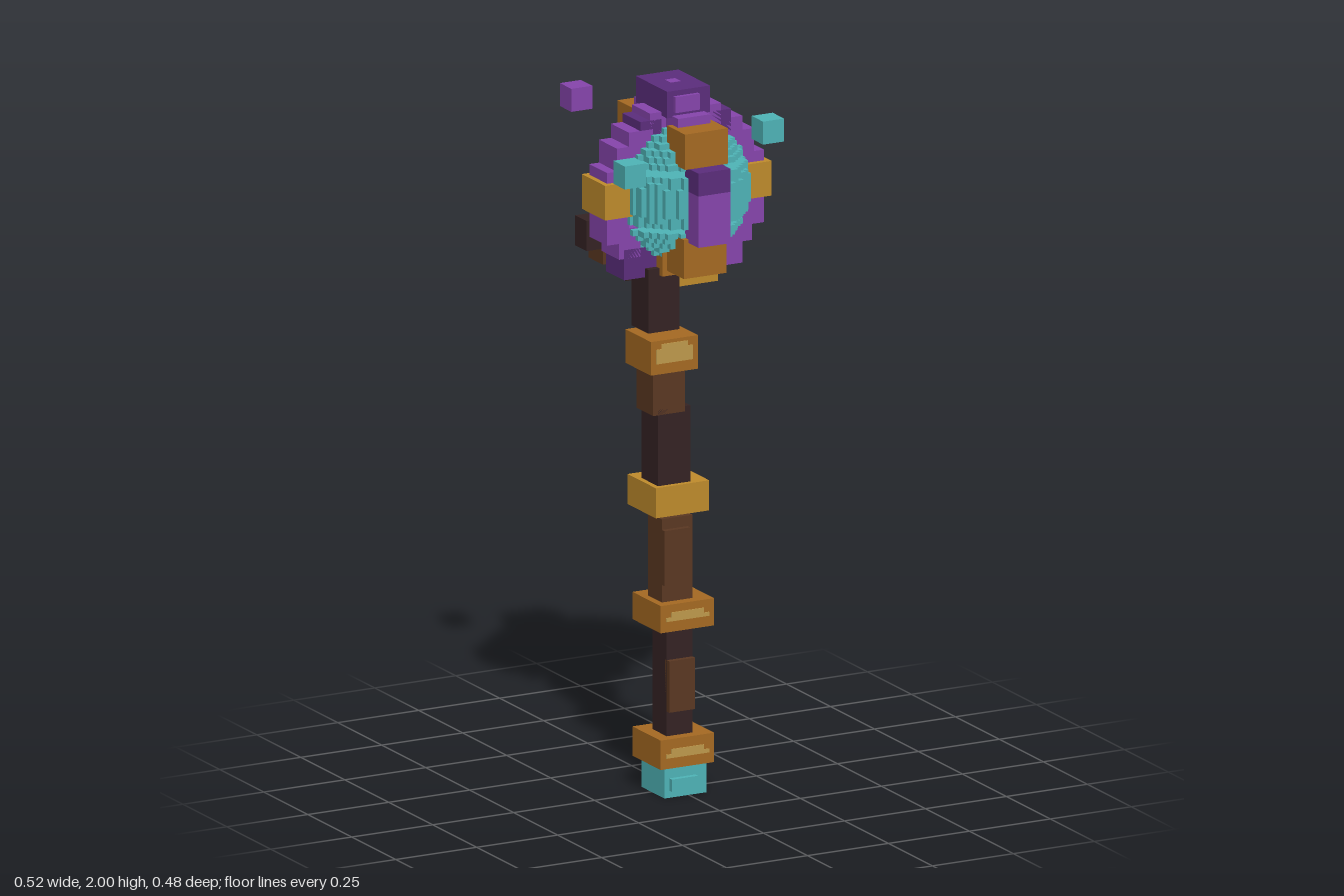
import * as THREE from 'three';
import { mergeGeometries } from 'three/addons/utils/BufferGeometryUtils.js';

const paint = (name, color) => {
  const m = new THREE.MeshStandardMaterial({ color });
  m.name = name;
  return m;
};

export function createModel() {
  const purple = paint('purple', 0x8745ad);
  const darkPurple = paint('dark purple', 0x5c2d7d);
  const bronze = paint('bronze', 0xa66a22);
  const gold = paint('gold', 0xc08c2c);
  const paleGold = paint('pale gold', 0xc09a4c);
  const teal = paint('teal', 0x4fb5b8);
  const darkWood = paint('dark wood', 0x352324);
  const wood = paint('wood', 0x5b3822);

  const staff = new THREE.Group();
  staff.name = 'staff';

  // Box geometry from its bounds
  const boxGeo = (x0, x1, y0, y1, z0, z1) =>
    new THREE.BoxGeometry(x1 - x0, y1 - y0, z1 - z0)
      .translate((x0 + x1) / 2, (y0 + y1) / 2, (z0 + z1) / 2);
  const box = (name, material, ...bounds) => {
    const mesh = new THREE.Mesh(boxGeo(...bounds), material);
    mesh.name = name;
    staff.add(mesh);
  };

  // Crystal foot with small studs front and back
  box('foot', teal, -0.075, 0.055, 0, 0.087, -0.055, 0.075);
  box('footStud', teal, -0.06, 0.02, 0.02, 0.055, -0.07, 0.09);

  // Shaft segments, drifting slightly sideways towards the top
  box('shaftLower', darkWood, -0.06, 0.02, 0.165, 0.48, -0.02, 0.06);
  box('shaftMiddle', wood, -0.075, 0.02, 0.545, 0.785, -0.02, 0.06);
  box('shaftUpper', darkWood, -0.095, 0.005, 0.88, 1.1, -0.02, 0.075);
  box('shaftTop', wood, -0.11, -0.012, 1.085, 1.21, -0.02, 0.075);
  box('neck', darkWood, -0.125, -0.028, 1.32, 1.5, -0.02, 0.075);
  box('barkLower', wood, -0.06, 0.02, 0.24, 0.385, 0.05, 0.075);
  box('barkMiddle', wood, -0.075, 0.005, 0.6, 0.755, 0.05, 0.075);

  // Metal bands with a thin front inlay: x0, x1, y0, y1, z0, material
  [
    [-0.095, 0.07, 0.087, 0.17, -0.07, bronze],
    [-0.095, 0.07, 0.473, 0.55, -0.07, bronze],
    [-0.11, 0.055, 0.8, 0.885, -0.07, gold],
    [-0.125, 0.02, 1.205, 1.3, -0.055, bronze],
  ].forEach(([x0, x1, y0, y1, z0, material], i) => {
    box('band', material, x0, x1, y0, y1, z0, 0.09);
    const top = i === 3 ? y1 - 0.01 : y0 + 0.055;
    if (i !== 2) {
      box('bandInlay', paleGold, x0 + 0.016, x1 - 0.016, y0 + 0.03, top - 0.014, 0.086, 0.0925);
      box('bandInlayTop', paleGold, x0 + 0.032, x1 - 0.032, top - 0.014, top, 0.086, 0.0925);
    }
  });

  // Voxel orb: one run of cells per row, with two open slits
  const cell = 0.0161, radius = 0.2, runs = [];
  const cy = 1.705, cx = -0.002;
  for (let j = -11; j <= 11; j++) {
    if (j === 5 || j === -5) continue;
    for (let k = -11; k <= 11; k++) {
      const left = radius ** 2 - (j * cell) ** 2 - (k * cell) ** 2;
      if (left <= 0) continue;
      const half = Math.min((Math.floor(Math.sqrt(left) / cell) + 0.5) * cell, 0.178);
      runs.push(boxGeo(cx - half, cx + half, cy + (j - 0.5) * cell, cy + (j + 0.5) * cell,
        (k - 0.5) * cell, (k + 0.5) * cell));
    }
  }
  const orb = new THREE.Mesh(mergeGeometries(runs), teal);
  orb.name = 'orb';
  staff.add(orb);

  // Stepped side ring in the x-y plane, mirrored
  const side = (name, material, x0, x1, y0, y1, z0 = -0.045, z1 = 0.057) => {
    box(name + 'Left', material, x0, x1, y0, y1, z0, z1);
    box(name + 'Right', material, -x1, -x0, y0, y1, z0, z1);
  };
  side('ringSide', purple, 0.175, 0.242, 1.58, 1.785);
  side('ringShoulder', purple, 0.145, 0.212, 1.765, 1.85);
  side('ringUpper', purple, 0.1, 0.175, 1.82, 1.89);
  side('ringCrown', darkPurple, 0.075, 0.14, 1.85, 1.915);
  side('ringInner', purple, 0.04, 0.11, 1.87, 1.935);
  side('ringLower', purple, 0.14, 0.205, 1.535, 1.62);
  side('sideClasp', gold, 0.165, 0.257, 1.657, 1.755, -0.06, 0.073);
  box('ringFootLeft', purple, 0.075, 0.175, 1.475, 1.56, -0.045, 0.057);
  box('ringFootRight', darkPurple, -0.19, -0.09, 1.475, 1.56, -0.045, 0.057);

  // Front and back bars, each with one dark stretch
  box('frontBar', purple, -0.06, 0.04, 1.595, 1.74, 0.165, 0.24);
  box('frontBarDark', darkPurple, -0.06, 0.04, 1.74, 1.805, 0.165, 0.24);
  box('backBar', purple, -0.06, 0.04, 1.675, 1.81, -0.243, -0.165);
  box('backBarDark', darkPurple, -0.06, 0.04, 1.605, 1.675, -0.243, -0.165);

  // Brackets above and below the bars, front and back
  for (const s of [1, -1]) {
    const span = (a, b) => (s > 0 ? [a, b] : [-b, -a]);
    box('upperBracket', bronze, -0.075, 0.057, 1.805, 1.905, ...span(0.09, 0.192));
    box('lowerBracket', bronze, -0.075, 0.057, 1.495, 1.605, ...span(0.09, 0.185));
    box('crownStep', purple, -0.06, 0.04, 1.88, 1.93, ...span(0.05, 0.125));
    box('crownStud', purple, -0.055, 0.02, 1.94, 1.985, ...span(0.08, 0.102));
  }

  // Crown block on top
  box('crown', darkPurple, -0.075, 0.057, 1.925, 2, -0.088, 0.09);
  box('crownGem', purple, -0.025, 0.007, 1.99, 2.001, -0.016, 0.016);

  // Socket under the orb
  box('socket', bronze, -0.09, 0.06, 1.48, 1.55, -0.09, 0.09);
  box('socketBase', gold, -0.06, 0.09, 1.44, 1.485, -0.07, 0.075);
  box('socketRoot', wood, -0.11, 0.03, 1.46, 1.5, -0.12, 0.06);

  // Roots curling up behind the orb
  box('rootTipRight', darkWood, -0.242, -0.16, 1.535, 1.62, -0.125, -0.06);
  box('rootTipLeft', darkWood, 0.11, 0.19, 1.545, 1.63, -0.138, -0.06);
  box('rootRight', wood, -0.192, -0.11, 1.49, 1.57, -0.142, -0.06);
  box('rootLeft', wood, 0.075, 0.155, 1.49, 1.57, -0.142, -0.06);
  box('rootBaseRight', darkWood, -0.13, -0.05, 1.44, 1.52, -0.14, -0.04);
  box('rootBaseLeft', darkWood, 0.02, 0.09, 1.44, 1.51, -0.14, -0.04);

  // Floating cubes
  const floating = (material, x, y, z) =>
    box('floatingCube', material, x, x + 0.065, y, y + 0.065, z, z + 0.065);
  floating(purple, -0.243, 1.907, -0.21);
  floating(teal, -0.26, 1.775, 0.125);
  floating(teal, 0.175, 1.838, 0.11);
  floating(gold, 0.16, 1.473, -0.176);

  return staff;
}
